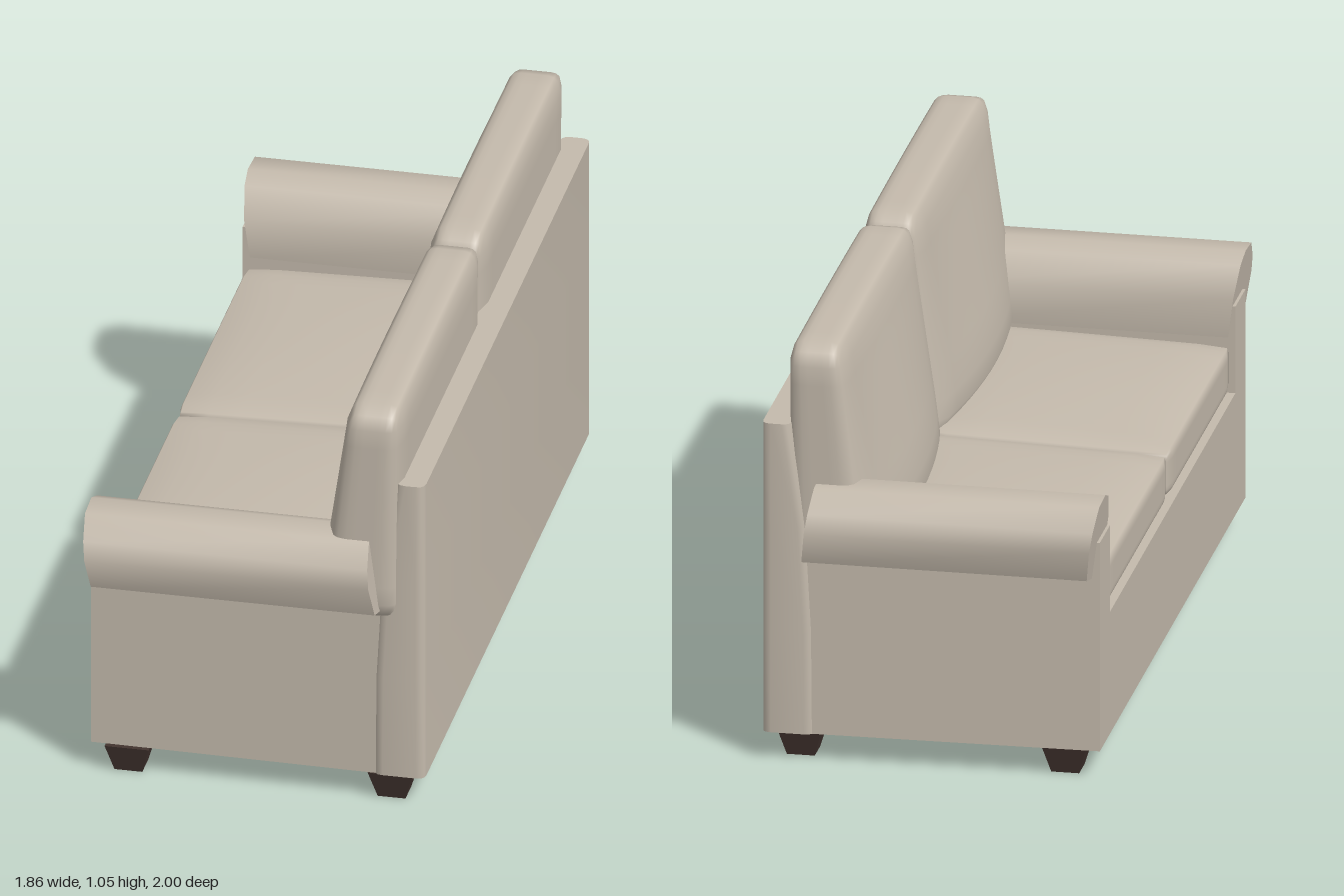
import * as THREE from 'three';
import { mergeVertices, toCreasedNormals } from 'three/addons/utils/BufferGeometryUtils.js';

const fabric = new THREE.MeshStandardMaterial({ color: 0xc4baac });
fabric.name = 'beigeFabric';
const wood = new THREE.MeshStandardMaterial({ color: 0x42342f });
wood.name = 'darkWood';

// Move every vertex of a geometry by a rule
function warp(geo, rule) {
  const p = geo.attributes.position, v = new THREE.Vector3();
  for (let i = 0; i < p.count; i++) {
    v.fromBufferAttribute(p, i);
    rule(v);
    p.setXYZ(i, v.x, v.y, v.z);
  }
  return geo;
}

// Soft box centred on the origin: rounded edges, then a bulge rule
function pillow(w, h, d, r, rule) {
  let geo = new THREE.BoxGeometry(w, h, d, 16, 12, 8);
  const inner = new THREE.Vector3(w / 2 - r, h / 2 - r, d / 2 - r);
  const low = inner.clone().negate(), core = new THREE.Vector3();
  warp(geo, (v) => {
    core.copy(v).clamp(low, inner);
    v.sub(core).setLength(r).add(core);
    rule(v);
  });
  geo.deleteAttribute('uv');
  geo.deleteAttribute('normal');
  geo = mergeVertices(geo, 1e-4);
  geo.computeVertexNormals();
  return geo;
}

// Rectangle in plan with rounded corners
function roundedPlan(w, z0, z1, r) {
  const s = new THREE.Shape(), a = -z1, b = -z0;
  s.moveTo(-w + r, a);
  s.lineTo(w - r, a);
  s.quadraticCurveTo(w, a, w, a + r);
  s.lineTo(w, b - r);
  s.quadraticCurveTo(w, b, w - r, b);
  s.lineTo(-w + r, b);
  s.quadraticCurveTo(-w, b, -w, b - r);
  s.lineTo(-w, a + r);
  s.quadraticCurveTo(-w, a, -w + r, a);
  return s;
}

export function createModel() {
  const model = new THREE.Group();
  model.name = 'sofa';
  const sofa = new THREE.Group();
  sofa.name = 'sofaBody';
  sofa.rotation.y = THREE.MathUtils.degToRad(-130);
  model.add(sofa);
  const frame = new THREE.Group();
  frame.name = 'frame';
  frame.position.x = 0.007;
  sofa.add(frame);

  const add = (name, geo, mat, x = 0, y = 0, z = 0) => {
    const m = new THREE.Mesh(geo, mat);
    m.name = name;
    m.position.set(x, y, z);
    frame.add(m);
  };

  // Back wall, thinner towards the top
  const wall = new THREE.ExtrudeGeometry(roundedPlan(0.925, -0.45, -0.325, 0.022),
    { depth: 0.785, steps: 3, bevelEnabled: false, curveSegments: 3 });
  wall.rotateX(-Math.PI / 2);
  warp(wall, (v) => { if (v.z > -0.38) v.z -= 0.055 * (v.y / 0.785) ** 3; });
  add('backWall', toCreasedNormals(wall, 0.7), fabric, 0, 0.07, 0);

  // Base with the front rail
  add('base', new THREE.BoxGeometry(1.56, 0.31, 0.76), fabric, 0, 0.225, -0.01);

  // Seat cushions, gently crowned and higher at the back
  const seat = pillow(0.775, 0.12, 0.62, 0.022, (v) => {
    const u = v.x / 0.3875, t = v.z / 0.31;
    if (v.y > 0) v.y += 0.015 * (1 - u * u) * (1 - t * t) + 0.008 * (1 - t);
  });

  // Back cushions: front leans back and swells towards the lower middle
  const back = pillow(0.93, 0.56, 0.2, 0.045, (v) => {
    const u = v.x / 0.465, y = v.y + 0.768, k = (v.z + 0.1) / 0.2;
    const swell = Math.max(0, 1 - u * u) * Math.min(1, Math.max(0, (1.02 - y) * 2.5));
    const front = -0.25 + (0.97 - y) * 0.12 + 0.045 * swell;
    v.z = THREE.MathUtils.lerp(-0.392, front, k);
    if (v.y > 0.2) v.y += 0.004 * (1 - u * u);
  });

  // Rolled arm cross-section
  const roll = [[0.78, 0.52], [0.775, 0.62], [0.82, 0.69], [0.87, 0.71], [0.945, 0.705],
    [0.995, 0.655], [1.01, 0.61], [0.985, 0.53], [0.91, 0.51]];

  for (const s of [1, -1]) {
    const side = s > 0 ? 'left' : 'right';
    add(side + 'SeatCushion', seat, fabric, s * 0.39 + 0.004, 0.445, 0.05);
    add(side + 'BackCushion', back, fabric, s * 0.465 + 0.012, 0.768, 0);

    // Arm panel, widening slightly towards the back wall
    const panel = new THREE.BoxGeometry(0.125, 0.53, 0.77);
    warp(panel, (v) => { if (v.z < 0 && v.x * s > 0) v.x += s * 0.013; });
    panel.computeVertexNormals();
    add(side + 'ArmPanel', panel, fabric, s * 0.8425, 0.335, -0.015);

    // Arm roll with raked ends
    const shape = new THREE.Shape(roll.map(([x, y]) => new THREE.Vector2(s * x, y)));
    const arm = new THREE.ExtrudeGeometry(shape, { depth: 0.695, bevelEnabled: false });
    warp(arm, (v) => { v.z += (v.y - 0.71) * 0.13; });
    add(side + 'ArmRoll', toCreasedNormals(arm, 0.95), fabric, 0, 0, -0.318);

    // Tapered square feet
    for (const [end, z] of [['Front', 0.28], ['Back', -0.364]]) {
      const foot = new THREE.CylinderGeometry(0.054 * Math.SQRT2, 0.034 * Math.SQRT2, 0.07, 4, 1)
        .rotateY(Math.PI / 4);
      add(side + end + 'Foot', toCreasedNormals(foot, 0.5), wood, s * 0.854 + 0.012, 0.035, z);
    }
  }
  return model;
}
